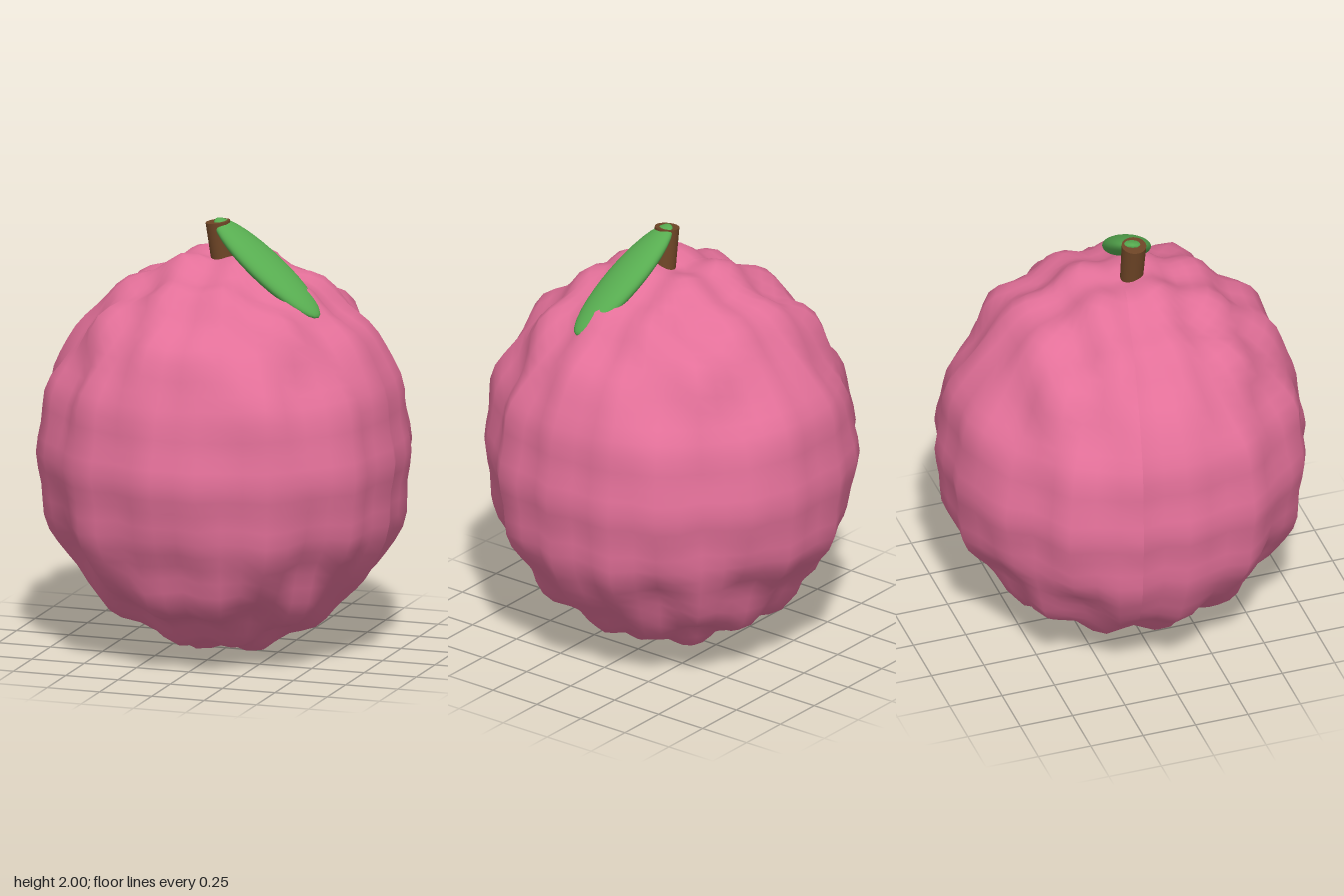
import * as THREE from 'three';

const mat = (name, color) => {
  const m = new THREE.MeshStandardMaterial({ color });
  m.name = name;
  return m;
};

// Lumpy skin: ellipsoid with ridges across z and x, and faint ones across y
function fruitGeometry() {
  const geo = new THREE.SphereGeometry(1, 48, 40).rotateY(-0.22);
  const pos = geo.attributes.position;
  const dir = new THREE.Vector3();
  const k = 18.6;
  for (let i = 0; i < pos.count; i++) {
    dir.fromBufferAttribute(pos, i);
    const bump =
      0.02 * Math.cos(k * (dir.z - 0.09 - 0.04 * dir.y)) +
      0.016 * Math.cos(k * (dir.x - 0.17 + 0.03 * dir.y)) +
      0.008 * Math.cos(k * dir.y);
    const s = 0.826 + bump;
    pos.setXYZ(i, dir.x * s, dir.y * s * 1.08, dir.z * s);
  }
  geo.computeVertexNormals();
  geo.computeBoundingBox();
  geo.translate(0, -geo.boundingBox.min.y, 0);
  return geo;
}

export function createModel() {
  const model = new THREE.Group();
  const add = (name, geo, material) => {
    const mesh = new THREE.Mesh(geo, material);
    mesh.name = name;
    model.add(mesh);
    return mesh;
  };

  add('fruit', fruitGeometry(), mat('pinkSkin', 0xe37099));

  // Short stem, a little wider at the top and leaning to one side
  const base = new THREE.Vector3(0.015, 1.7, 0.04);
  const tip = new THREE.Vector3(-0.022, 1.985, 0.045);
  const axis = tip.clone().sub(base);
  const stem = add('stem', new THREE.CylinderGeometry(0.056, 0.05, axis.length(), 24), mat('brownStem', 0x6e4526));
  stem.position.copy(base).lerp(tip, 0.5);
  stem.quaternion.setFromUnitVectors(new THREE.Vector3(0, 1, 0), axis.normalize());

  // Flattened leaf running from the stem top down over the shoulder
  const start = new THREE.Vector3(-0.035, 1.995, 0.035);
  const end = new THREE.Vector3(0.5, 1.605, 0.16);
  const along = end.clone().sub(start);
  const half = along.length() / 2;
  along.normalize();
  const across = new THREE.Vector3(-0.1, -0.2, 1);
  across.addScaledVector(along, -across.dot(along)).normalize();
  const up = across.clone().cross(along);
  const leaf = add('leaf', new THREE.SphereGeometry(1, 32, 24).scale(half, 0.052, 0.107), mat('greenLeaf', 0x57ac50));
  leaf.quaternion.setFromRotationMatrix(new THREE.Matrix4().makeBasis(along, up, across));
  leaf.position.copy(start).lerp(end, 0.5);

  return model;
}
